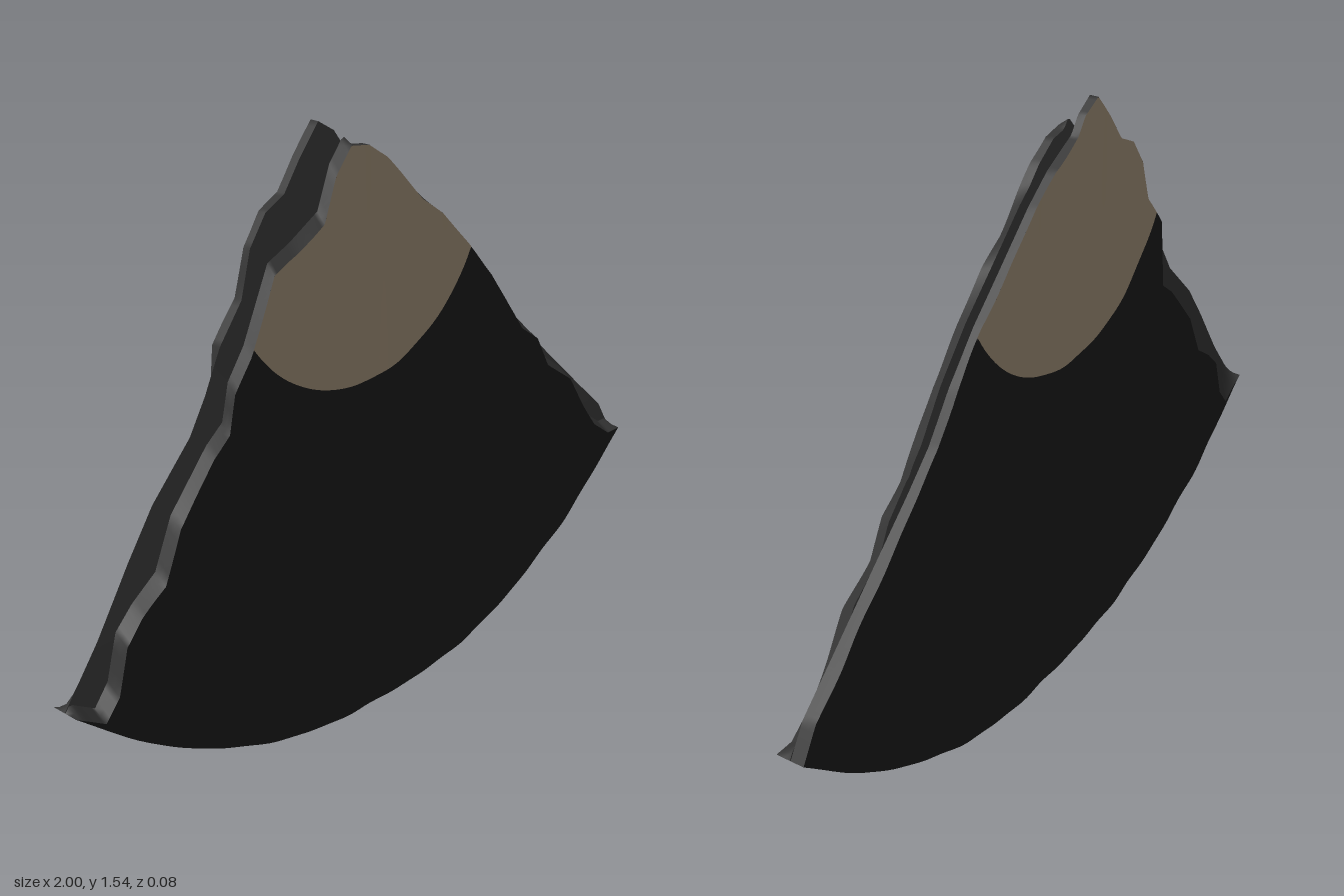
import * as THREE from 'three';

const paint = (name, color, side = THREE.FrontSide) => {
  const m = new THREE.MeshStandardMaterial({ color, side });
  m.name = name;
  return m;
};

// Height at x along a polyline of [x, y] points
const along = (pts) => (x) => {
  let i = 1;
  while (i < pts.length - 1 && pts[i][0] < x) i++;
  const [ax, ay] = pts[i - 1], [bx, by] = pts[i];
  return ay + (by - ay) * THREE.MathUtils.clamp((x - ax) / (bx - ax), 0, 1);
};

// Curved lower rim
const rimCurve = new THREE.SplineCurve([
  [-1, 0.41], [-0.8, 0.25], [-0.6, 0.135], [-0.4, 0.055], [-0.2, 0.012], [0, 0],
  [0.2, 0.005], [0.4, 0.045], [0.6, 0.13], [0.8, 0.25], [1, 0.42],
].map(([x, y]) => new THREE.Vector2(x, y)));
const bottom = along(rimCurve.getPoints(60).map((p) => [p.x, p.y]));

// Torn upper outlines of the two sheets
const rightSide = [
  [0.08, 1.36], [0.2, 1.25], [0.3, 1.16], [0.4, 1.05], [0.48, 0.94], [0.56, 0.86],
  [0.7, 0.73], [0.85, 0.59], [0.95, 0.5], [1, 0.42],
];
const peak = [
  [-0.5, 1.1], [-0.43, 1.19], [-0.4, 1.3], [-0.35, 1.37], [-0.29, 1.4], [-0.24, 1.47],
  [-0.18, 1.54], [-0.13, 1.51], [-0.1, 1.47], [0, 1.42],
];
const wornLeft = [
  [-1, 0.41], [-0.92, 0.36], [-0.88, 0.41], [-0.85, 0.52], [-0.8, 0.57], [-0.73, 0.62],
  [-0.68, 0.74], [-0.57, 0.87], [-0.52, 0.91],
];
const atLeastBottom = (f) => (x) => Math.max(f(x), bottom(x));
const backInner = atLeastBottom(along([
  [-1, 0.41], [-0.9, 0.54], [-0.8, 0.69], [-0.72, 0.8], [-0.6, 0.92], [-0.55, 1],
  ...peak, ...rightSide,
]));
const backOuter = atLeastBottom(along([...wornLeft, ...peak, ...rightSide]));
const frontOuter = atLeastBottom(along([
  ...wornLeft, [-0.5, 1], [-0.45, 1.07], [-0.37, 1.24], [-0.3, 1.27], [-0.21, 1.32],
  [-0.17, 1.42], [-0.12, 1.48], [-0.06, 1.47], [0, 1.43], [0.08, 1.35], [0.13, 1.3],
  [0.2, 1.25], [0.3, 1.15], [0.4, 1.04], [0.47, 0.94], [0.53, 0.86], [0.6, 0.81],
  [0.65, 0.72], [0.75, 0.65], [0.82, 0.55], [0.88, 0.47], [0.95, 0.42], [1, 0.42],
]));
const frontInner = (x) => Math.max(frontOuter(x), Math.min(backInner(x), frontOuter(x) + 0.025));

// Lower edge of the round pale patch, limited to the sheet's outline
const patchEdge = (top) => (x) => {
  const dx = x + 0.08, r = 0.44;
  return Math.abs(dx) >= r ? top(x) : Math.min(top(x), 1.34 - Math.sqrt(r * r - dx * dx));
};

// Soft vertical folds and the slit that opens upwards
const fold = (x, y) => 0.0014 * Math.sin(27 * x + 0.8 * y) + 0.0011 * Math.sin(43 * x + 1.3 - y);
const outerZ = (x, y) => 0.037 - 0.004 * THREE.MathUtils.smoothstep(y, 0.4, 1.2) + fold(x, y);
const innerZ = (x, y) => 0.001 + 0.01 * THREE.MathUtils.smoothstep(y, 0.45, 1.1);
const frontZ = outerZ;
const backZ = (x, y) => -outerZ(-x, y);
const slitFrontZ = innerZ;
const slitBackZ = (x, y) => -innerZ(x, y);

// Grid whose columns run along x; point(x, v) gives [y, z]
function sheet(name, material, rows, point, flip = false, x0 = -1, x1 = 1) {
  const cols = 200, pos = [], idx = [];
  for (let i = 0; i <= cols; i++) {
    const x = x0 + (x1 - x0) * i / cols;
    for (let j = 0; j <= rows; j++) pos.push(x, ...point(x, j / rows));
  }
  for (let i = 0; i < cols; i++) {
    for (let j = 0; j < rows; j++) {
      const a = i * (rows + 1) + j, b = a + rows + 1;
      if (flip) idx.push(a, a + 1, b, b, a + 1, b + 1);
      else idx.push(a, b, a + 1, b, b + 1, a + 1);
    }
  }
  const g = new THREE.BufferGeometry();
  g.setAttribute('position', new THREE.Float32BufferAttribute(pos, 3));
  g.setIndex(idx);
  g.computeVertexNormals();
  const mesh = new THREE.Mesh(g, material);
  mesh.name = name;
  return mesh;
}

// Upright face between two heights, lying on a depth function
const face = (low, high, depth) => (x, v) => {
  const y = low(x) + (high(x) - low(x)) * v;
  return [y, depth(x, y)];
};

// Narrow surface joining two lines at different depths
const bridge = (yA, zA, yB, zB) => (x, v) => {
  const a = yA(x), b = yB(x);
  return [a + (b - a) * v, THREE.MathUtils.lerp(zA(x, a), zB(x, b), v)];
};

export function createModel() {
  const black = paint('black', 0x1c1c1c);
  const tan = paint('tan', 0xa39179);
  const charcoal = paint('charcoal', 0x3e3e3e, THREE.DoubleSide);
  const edgeGrey = paint('edge grey', 0x343434, THREE.DoubleSide);
  const group = new THREE.Group();
  group.name = 'foldedShard';

  // Outer faces with their pale patches
  const sides = [['front', frontOuter, frontZ, false], ['back', backOuter, backZ, true]];
  for (const [name, top, depth, flip] of sides) {
    const seam = patchEdge(top);
    group.add(
      sheet(name + 'Face', black, 12, face(bottom, seam, depth), flip),
      sheet(name + 'Patch', tan, 8, face(seam, top, depth), flip, -0.52, 0.36),
    );
  }

  // Inner faces of the slit
  group.add(
    sheet('frontLining', charcoal, 10, face(bottom, frontInner, slitFrontZ), true),
    sheet('backLining', charcoal, 10, face(bottom, backInner, slitBackZ)),
  );

  // Torn upper edges and the lower rim
  group.add(
    sheet('frontTornEdge', edgeGrey, 2, bridge(frontOuter, frontZ, frontInner, slitFrontZ)),
    sheet('backTornEdge', edgeGrey, 2, bridge(backInner, slitBackZ, backOuter, backZ)),
    sheet('lowerRim', black, 2, bridge(bottom, backZ, bottom, frontZ)),
  );
  return group;
}
